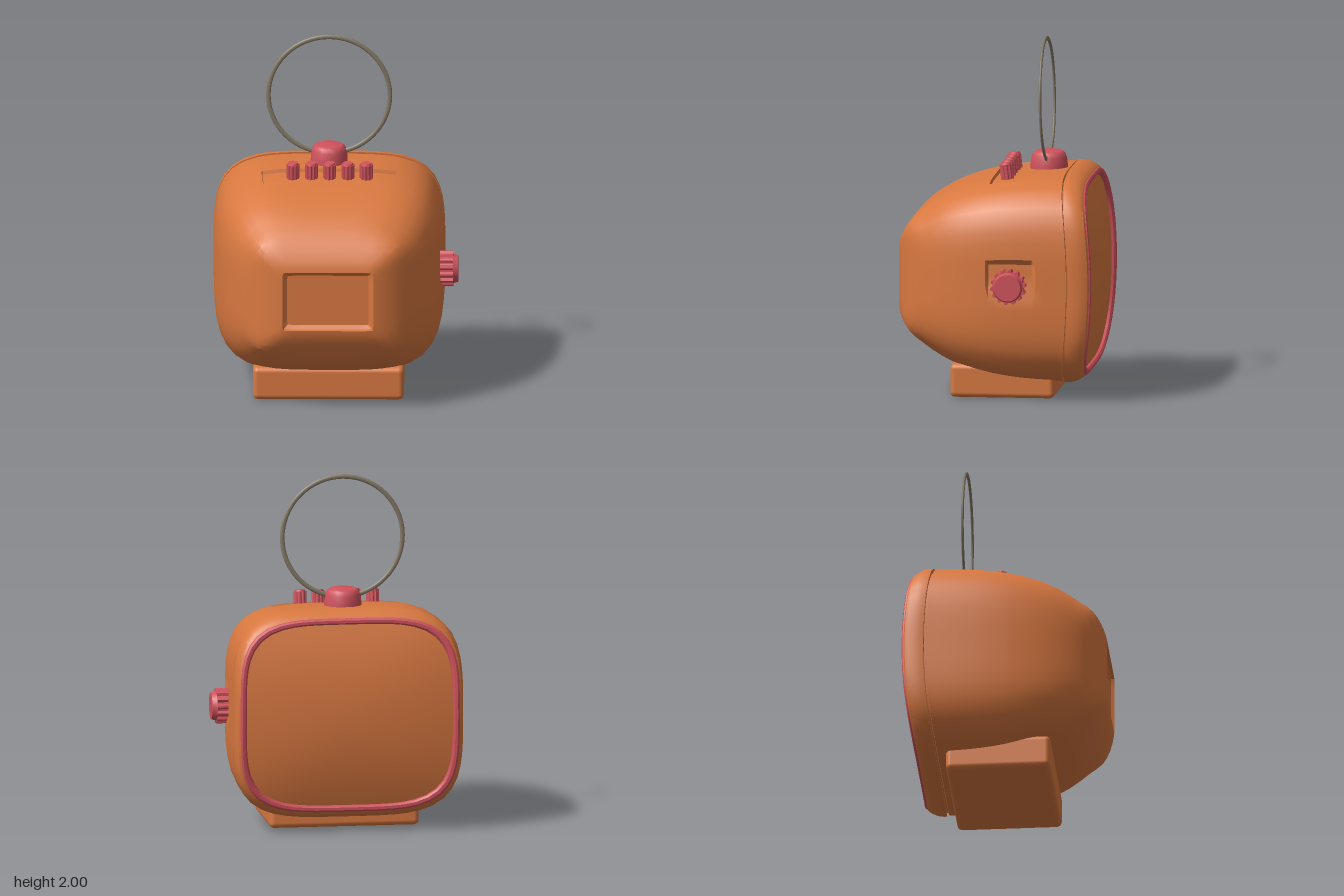
import * as THREE from 'three';
import { toCreasedNormals } from 'three/addons/utils/BufferGeometryUtils.js';
import { RoundedBoxGeometry } from 'three/addons/geometries/RoundedBoxGeometry.js';

const CX = -0.04, CY = 0.67, W = 0.65, H = 0.59;

// Skins rows [halfWidth, halfHeight, z, bow, exponent] of superellipses running from +z to -z.
// Bow pulls the top and bottom of a row forward, so the screen side is curved.
function skin(rows, angles, inset = () => 0) {
  const pos = [], index = [], n = angles.length;
  rows.forEach(([w, h, z, bow = 0, e = 4], i) => {
    angles.forEach((t, j) => {
      const c = Math.cos(t), s = Math.sin(t);
      const r = (Math.abs(c) ** e + Math.abs(s) ** e) ** (-1 / e);
      const x = w * r * c, y = h * r * s, d = inset(z, t);
      const top = t > 1;
      pos.push(CX + x - (top ? 0 : d), CY + y - (top ? d : 0), z + bow * 0.065 * (y / H) ** 2);
      if (i === rows.length - 1) return;
      const a = i * n + j, b = i * n + (j + 1) % n;
      index.push(a, a + n, b, b, a + n, b + n);
    });
  });
  const g = new THREE.BufferGeometry();
  g.setAttribute('position', new THREE.Float32BufferAttribute(pos, 3));
  g.setIndex(index);
  return toCreasedNormals(g, 0.5);
}

// Toothed knob along +z with a smaller cap disc on its end
function knobGeometry(radius, depth, teeth) {
  const shape = new THREE.Shape();
  for (let i = 0; i < teeth * 4; i++) {
    const a = (i + 0.5) / (teeth * 4) * Math.PI * 2;
    const r = i % 4 < 2 ? radius : radius * 0.87;
    shape[i ? 'lineTo' : 'moveTo'](r * Math.cos(a), r * Math.sin(a));
  }
  return new THREE.ExtrudeGeometry(shape, { depth, bevelEnabled: false });
}

export function createModel() {
  const model = new THREE.Group();
  const orange = new THREE.MeshStandardMaterial({ color: 0xd87840 });
  const red = new THREE.MeshStandardMaterial({ color: 0xd0525c });
  const metal = new THREE.MeshStandardMaterial({ color: 0x857b68 });
  const add = (name, geometry, material, parent = model) => {
    const mesh = new THREE.Mesh(geometry, material);
    mesh.name = name;
    parent.add(mesh);
    return mesh;
  };

  // Even angles, plus extra ones along the edges of the two recesses
  const even = Array.from({ length: 64 }, (_, i) => i / 64 * Math.PI * 2);
  const TAU = Math.PI * 2, UP = Math.PI / 2;
  const angles = [...even, 0.205, 0.252, TAU - 0.205, TAU - 0.252,
    UP - 0.54, UP - 0.547, UP + 0.54, UP + 0.547].sort((a, b) => a - b);

  // Casing: recessed rectangular panel, rounded shell, seam groove, then the bezel
  const rows = [
    [0, 0, 0.535, 0, 40], [0.23, 0.145, 0.535, 0, 40], [0.25, 0.166, 0.55, 0, 40], [0.256, 0.171, 0.568, 0, 40],
  ];
  const shellZ = [0.562, 0.553, 0.54, 0.52, 0.495, 0.46, 0.42, 0.37, 0.31, 0.25, 0.18, 0.11, 0.042, 0.037,
    0.02, -0.03, -0.075, -0.117, -0.122, -0.17, -0.228, -0.25, -0.3, -0.35, -0.39, -0.425];
  for (const z of shellZ) {
    const u = Math.max(0, (z + 0.42) / 1.01);
    const sharp = Math.max(0, (z - 0.35) / 0.215);
    rows.push([
      W * (1 - u ** 2.9) ** (1 / 3), H * (1 - u ** 2.5) ** 0.4, z,
      0.8 * Math.max(0, (-0.25 - z) / 0.175), 4 + 24 * sharp ** 4,
    ]);
  }
  rows.push(
    [0.636, 0.576, -0.427, 0.8], [0.636, 0.576, -0.436, 0.8], [0.65, 0.596, -0.438, 0.8], [0.652, 0.596, -0.46, 0.85],
    [0.65, 0.59, -0.495, 0.9], [0.644, 0.578, -0.525, 1], [0.634, 0.564, -0.545, 1],
    [0.62, 0.55, -0.553, 1], [0.6, 0.53, -0.53, 1],
  );
  const inset = (z, t) => {
    const side = Math.min(t, TAU - t);
    if (Math.abs(t - UP) < 0.543 && z < 0.039 && z > -0.119) return 0.02;
    return side < 0.23 && z < 0.021 && z > -0.23 ? 0.02 : 0;
  };
  add('casing', skin(rows, angles, inset), orange);

  // Coloured rim around the screen
  add('screenRim', skin([
    [0.625, 0.555, -0.545, 1], [0.621, 0.551, -0.558, 1], [0.612, 0.542, -0.563, 1],
    [0.597, 0.527, -0.56, 1], [0.588, 0.518, -0.55, 1], [0.584, 0.514, -0.525, 1],
  ], even), red);

  // Bulging screen
  const screen = [];
  for (let i = 0; i <= 10; i++) {
    const s = 1 - i / 10;
    screen.push([0.59 * s, 0.52 * s, -0.535 - 0.039 * (1 - s * s), 1, 2.5 + 1.5 * s]);
  }
  add('screen', skin(screen, even), orange);

  // Foot
  const foot = add('base', new RoundedBoxGeometry(0.85, 0.19, 0.59, 4, 0.03), orange);
  foot.position.set(CX, 0.095, -0.035);

  // Side dial
  const dial = new THREE.Group();
  dial.name = 'sideDial';
  dial.position.set(0.585, CY, -0.1);
  dial.rotation.y = Math.PI / 2;
  model.add(dial);
  add('dialGrip', knobGeometry(0.1, 0.075, 14), red, dial);
  const face = add('dialFace', toCreasedNormals(new THREE.CylinderGeometry(0.075, 0.085, 0.03, 28), 0.5), red, dial);
  face.rotation.x = Math.PI / 2;
  face.position.z = 0.088;

  // Row of small control knobs
  for (let i = 0; i < 5; i++) {
    const knob = new THREE.Group();
    knob.name = 'controlKnob' + (i + 1);
    knob.position.set(-0.241 + i * 0.103, 1.215, -0.042);
    knob.rotation.x = -Math.PI / 2 + 0.12;
    model.add(knob);
    add('knobGrip', knobGeometry(0.037, 0.085, 10), red, knob);
    const cap = add('knobCap', toCreasedNormals(new THREE.CylinderGeometry(0.027, 0.031, 0.01, 16), 0.5), red, knob);
    cap.rotation.x = Math.PI / 2;
    cap.position.z = 0.09;
  }

  // Antenna mount
  const mountProfile = [[0.106, 0], [0.106, 0.03], [0.1, 0.075], [0.09, 0.098], [0.074, 0.11], [0, 0.114]]
    .map(([x, y]) => new THREE.Vector2(x, y));
  const mount = add('antennaMount', new THREE.LatheGeometry(mountProfile, 14), red);
  mount.position.set(CX, 1.243, -0.253);

  // Loop antenna
  const loop = add('antennaLoop', new THREE.TorusGeometry(0.342, 0.013, 10, 64), metal);
  loop.scale.z = 0.6;
  loop.position.set(CX, 1.645, -0.241);
  loop.rotation.x = 0.02;

  return model;
}
